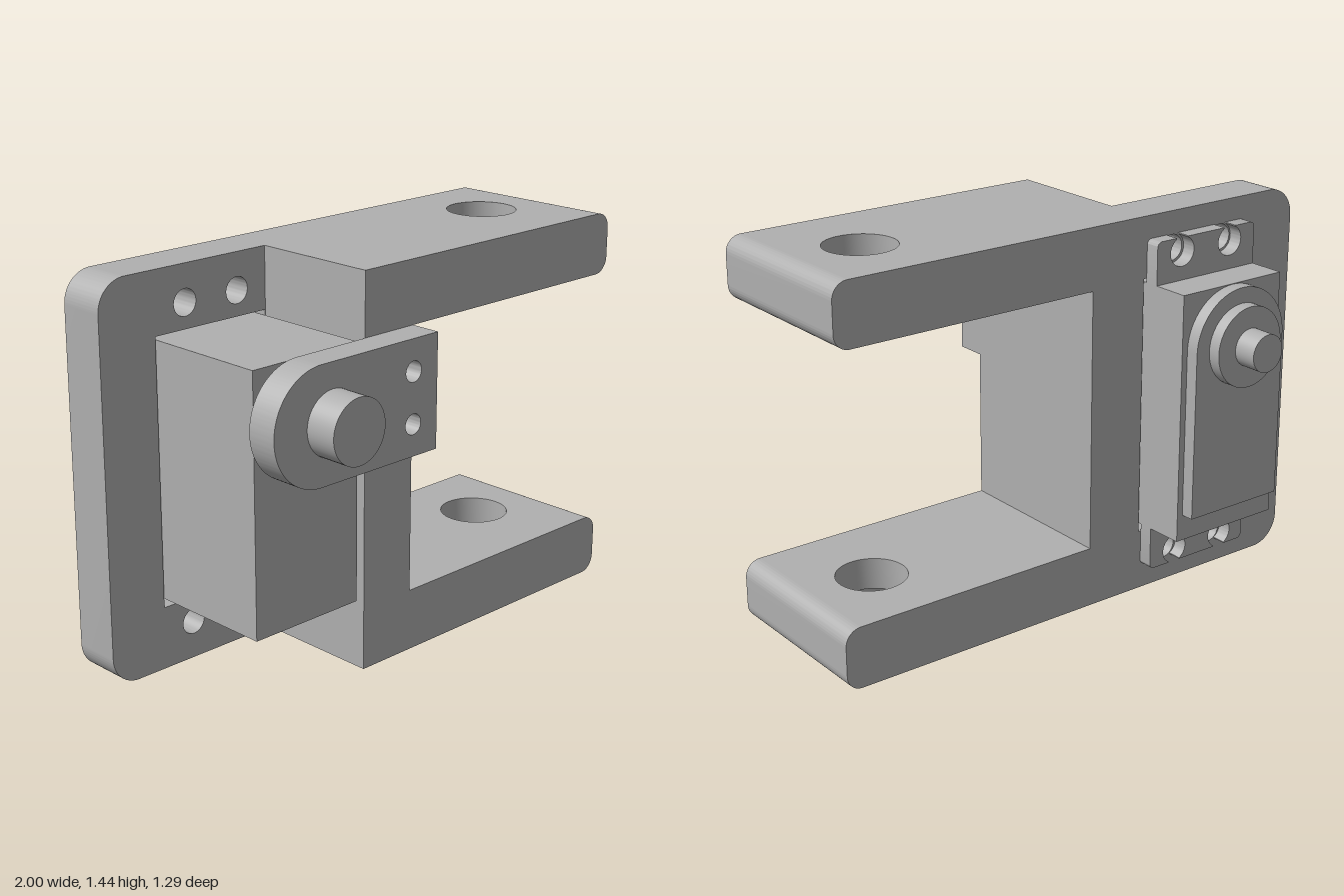
import * as THREE from 'three';
import { toCreasedNormals } from 'three/addons/utils/BufferGeometryUtils.js';

const grey = new THREE.MeshStandardMaterial({ color: 0xb0b0b0 });
grey.name = 'grey plastic';

// bracket extents
const BACK = -0.26, FRONT = 0.41, PLATE_FRONT = -0.08;
const STEP = -0.28, WEB = -0.05, TOP = 1.44, ARM = 0.23;
const SERVO_X = -0.527;

function mesh(name, geometry) {
  const m = new THREE.Mesh(geometry, grey);
  m.name = name;
  return m;
}

function box(name, x0, x1, y0, y1, z0, z1) {
  const g = new THREE.BoxGeometry(x1 - x0, y1 - y0, z1 - z0);
  g.translate((x0 + x1) / 2, (y0 + y1) / 2, (z0 + z1) / 2);
  return mesh(name, g);
}

function extrude(shape, depth) {
  const g = new THREE.ExtrudeGeometry(shape, { depth, bevelEnabled: false, curveSegments: 24 });
  return toCreasedNormals(g, 0.6);
}

// shape in the xy plane, pushed from z0 to z1
function slab(name, shape, z0, z1) {
  return mesh(name, extrude(shape, z1 - z0).translate(0, 0, z0));
}

// shape in (x, -z), pushed from y0 to y1
function layer(name, shape, y0, y1) {
  return mesh(name, extrude(shape, y1 - y0).rotateX(-Math.PI / 2).translate(0, y0, 0));
}

// rectangle with separate radii for its left and right corners
function rect(x0, x1, y0, y1, rl = 0, rr = 0) {
  const s = new THREE.Shape();
  const h = Math.PI / 2;
  s.moveTo(x0 + rl, y0);
  s.lineTo(x1 - rr, y0);
  if (rr) s.absarc(x1 - rr, y0 + rr, rr, -h, 0, false);
  s.lineTo(x1, y1 - rr);
  if (rr) s.absarc(x1 - rr, y1 - rr, rr, 0, h, false);
  s.lineTo(x0 + rl, y1);
  if (rl) s.absarc(x0 + rl, y1 - rl, rl, h, 2 * h, false);
  s.lineTo(x0, y0 + rl);
  if (rl) s.absarc(x0 + rl, y0 + rl, rl, 2 * h, 3 * h, false);
  return s;
}

function circle(x, y, r) {
  return new THREE.Path().absarc(x, y, r, 0, Math.PI * 2, false);
}

// cylinder along z
function disc(name, x, y, r, z0, z1) {
  const g = new THREE.CylinderGeometry(r, r, z1 - z0, 48);
  g.rotateX(Math.PI / 2).translate(x, y, (z0 + z1) / 2);
  return mesh(name, g);
}

function buildBracket() {
  const bracket = new THREE.Group();
  bracket.name = 'bracket';

  // mounting plate with servo window and screw holes
  const plate = rect(-1, STEP, 0, TOP, 0.11, 0);
  plate.holes.push(rect(-0.77, STEP - 0.002, 0.232, 1.212));
  for (const x of [-0.64, -0.41])
    for (const y of [0.14, 1.305]) plate.holes.push(circle(x, y, 0.048));
  bracket.add(slab('mountingPlate', plate, BACK, PLATE_FRONT));

  bracket.add(box('web', STEP, WEB, ARM, TOP - ARM, BACK, FRONT));

  // fork arms: drilled body plus rounded tip
  const armShape = () => rect(STEP, 0.92, -FRONT, -BACK);
  const drilled = armShape();
  drilled.holes.push(circle(0.695, -0.05, 0.13));
  bracket.add(layer('upperArm', drilled, TOP - ARM, TOP));
  bracket.add(layer('lowerArm', drilled, 0.11, ARM));

  // long pocket under the lower arm
  const slotted = armShape();
  slotted.holes.push(rect(-0.07, 0.83, -0.181, 0.081, 0.13, 0.13));
  bracket.add(layer('lowerArmSlot', slotted, 0, 0.11));

  for (const y of [0, TOP - ARM])
    bracket.add(slab('armTip', rect(0.92, 1, y, y + ARM, 0, 0.06), BACK, FRONT));
  return bracket;
}

// ear with two open-ended screw slots
function earShape() {
  const x0 = -0.76, x1 = -0.295, y0 = 1.19, y1 = 1.355, r = 0.055, w = 0.027, c = 0.02;
  const a = Math.asin(w / r), h = Math.PI / 2;
  const s = new THREE.Shape();
  s.moveTo(x0, y0);
  s.lineTo(x0, y1 - c);
  s.absarc(x0 + c, y1 - c, c, 2 * h, h, true);
  for (const x of [-0.64, -0.412]) {
    s.lineTo(x - w, y1);
    s.absarc(x, 1.303, r, h + a, 5 * h - a, false);
    s.lineTo(x + w, y1);
  }
  s.lineTo(x1 - c, y1);
  s.absarc(x1 - c, y1 - c, c, h, 0, true);
  s.lineTo(x1, y0);
  return s;
}

function buildServo() {
  const servo = new THREE.Group();
  servo.name = 'servo';
  servo.add(box('servoBody', -0.76, -0.295, 0.26, 1.197, -0.457, 0.39));

  // upper ear, and the lower one turned half a circle
  servo.add(slab('upperEar', earShape(), -0.315, BACK));
  const lower = slab('lowerEar', earShape(), -0.315, BACK);
  lower.rotation.z = Math.PI;
  lower.position.set(2 * SERVO_X, 1.45, 0);
  servo.add(lower);

  // round-topped gear cover
  const r = 0.208, cy = 0.987;
  const cover = new THREE.Shape();
  cover.moveTo(SERVO_X - r, 0.36);
  cover.lineTo(SERVO_X + r, 0.36);
  cover.absarc(SERVO_X, cy, r, 0, Math.PI, false);
  servo.add(slab('gearCover', cover, -0.507, -0.457));

  servo.add(disc('shaftCollar', SERVO_X, cy, 0.15, -0.555, -0.507));
  servo.add(disc('outputShaft', SERVO_X, cy, 0.07, -0.645, -0.555));
  return servo;
}

function buildPivot() {
  const pivot = new THREE.Group();
  pivot.name = 'frontPivot';
  const tab = rect(-0.795, WEB, 0.795, 1.21, 0.207, 0);
  for (const y of [0.91, 1.095]) tab.holes.push(circle(-0.165, y, 0.037));
  pivot.add(slab('pivotTab', tab, FRONT, 0.525));
  pivot.add(disc('pivotPin', -0.537, 1.003, 0.116, 0.525, 0.645));
  return pivot;
}

export function createModel() {
  const model = new THREE.Group();
  model.name = 'servoBracket';
  model.add(buildBracket(), buildServo(), buildPivot());
  return model;
}
